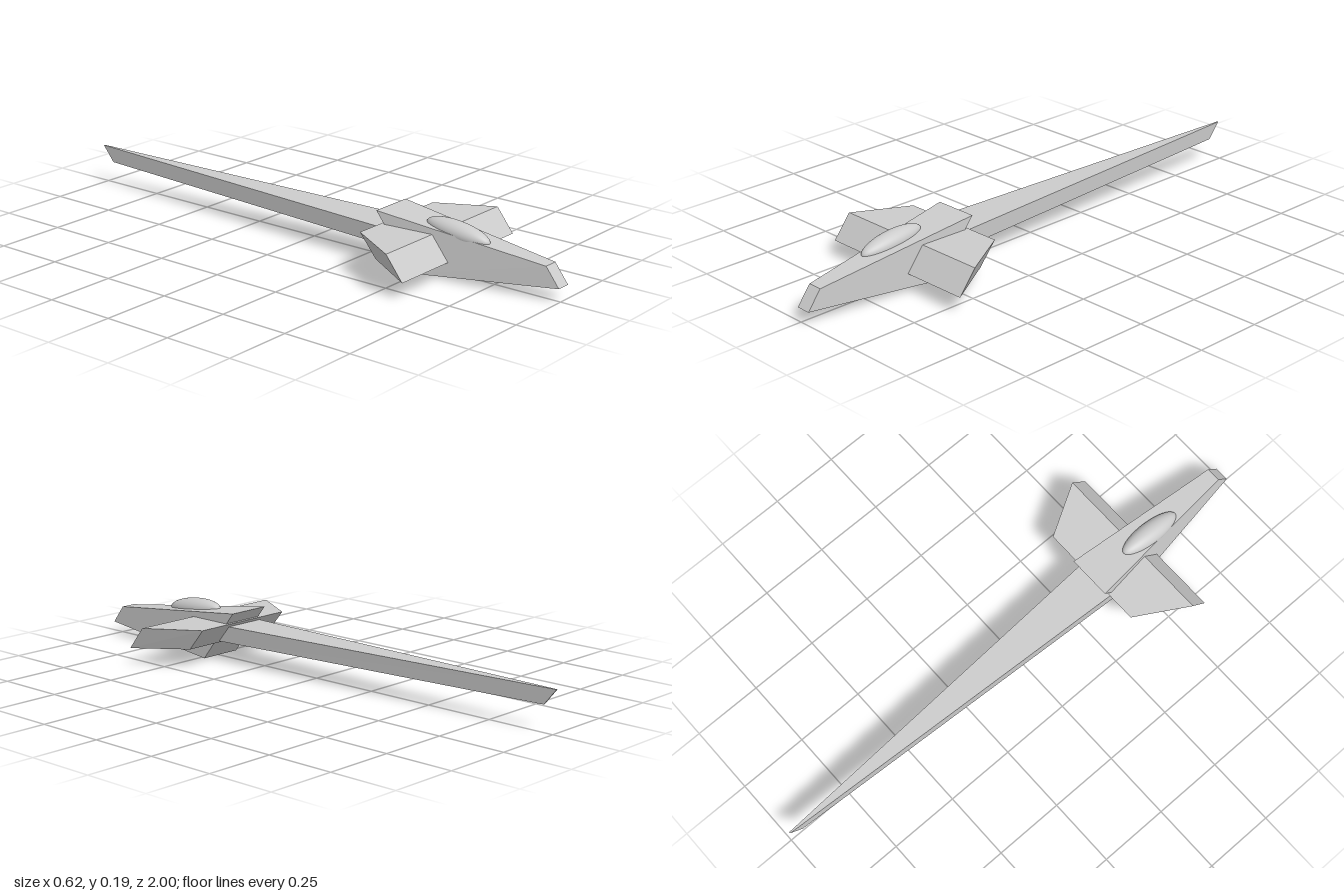
import * as THREE from 'three';

const flat = new THREE.MeshStandardMaterial({ color: 0xcccccc, flatShading: true });
const smooth = new THREE.MeshStandardMaterial({ color: 0xcccccc });

// A six-sided block between two upright sections.
// Each section: left/right x limits, then [y, z] of its top and bottom edges.
function block(name, front, back) {
  const geometry = new THREE.BoxGeometry(1, 1, 1);
  const p = geometry.attributes.position;
  for (let i = 0; i < p.count; i++) {
    const section = p.getZ(i) > 0 ? front : back;
    const [y, z] = p.getY(i) > 0 ? section.top : section.bottom;
    p.setXYZ(i, section.x[p.getX(i) > 0 ? 1 : 0], y, z);
  }
  geometry.computeVertexNormals();
  const mesh = new THREE.Mesh(geometry, flat);
  mesh.name = name;
  return mesh;
}

export function createModel() {
  const model = new THREE.Group();
  model.name = 'dartCraft';

  // Wedge fuselage, narrow at the nose and raked at the rear
  model.add(block('fuselage',
    { x: [-0.013, 0.04], top: [0.112, 0.95], bottom: [0.047, 1] },
    { x: [-0.088, 0.072], top: [0.186, 0.335], bottom: [0, 0.482] }));

  // Thick wings running through the fuselage, tapering to the rear
  model.add(block('wings',
    { x: [-0.31, 0.31], top: [0.142, 0.545], bottom: [0.06, 0.61] },
    { x: [-0.2, 0.2], top: [0.145, 0.355], bottom: [0.067, 0.42] }));

  // Long tail tapering to an upright edge
  model.add(block('tail',
    { x: [-0.092, 0.062], top: [0.133, 0.37], bottom: [0.073, 0.42] },
    { x: [-0.018, -0.013], top: [0.143, -1], bottom: [0.086, -0.953] }));

  // Ellipsoid canopy, tilted along the fuselage top
  const canopy = new THREE.Mesh(new THREE.SphereGeometry(1, 40, 24), smooth);
  canopy.name = 'canopy';
  canopy.scale.set(0.039, 0.036, 0.124);
  canopy.position.set(-0.014, 0.152, 0.613);
  canopy.rotation.x = 0.12;
  model.add(canopy);

  return model;
}
